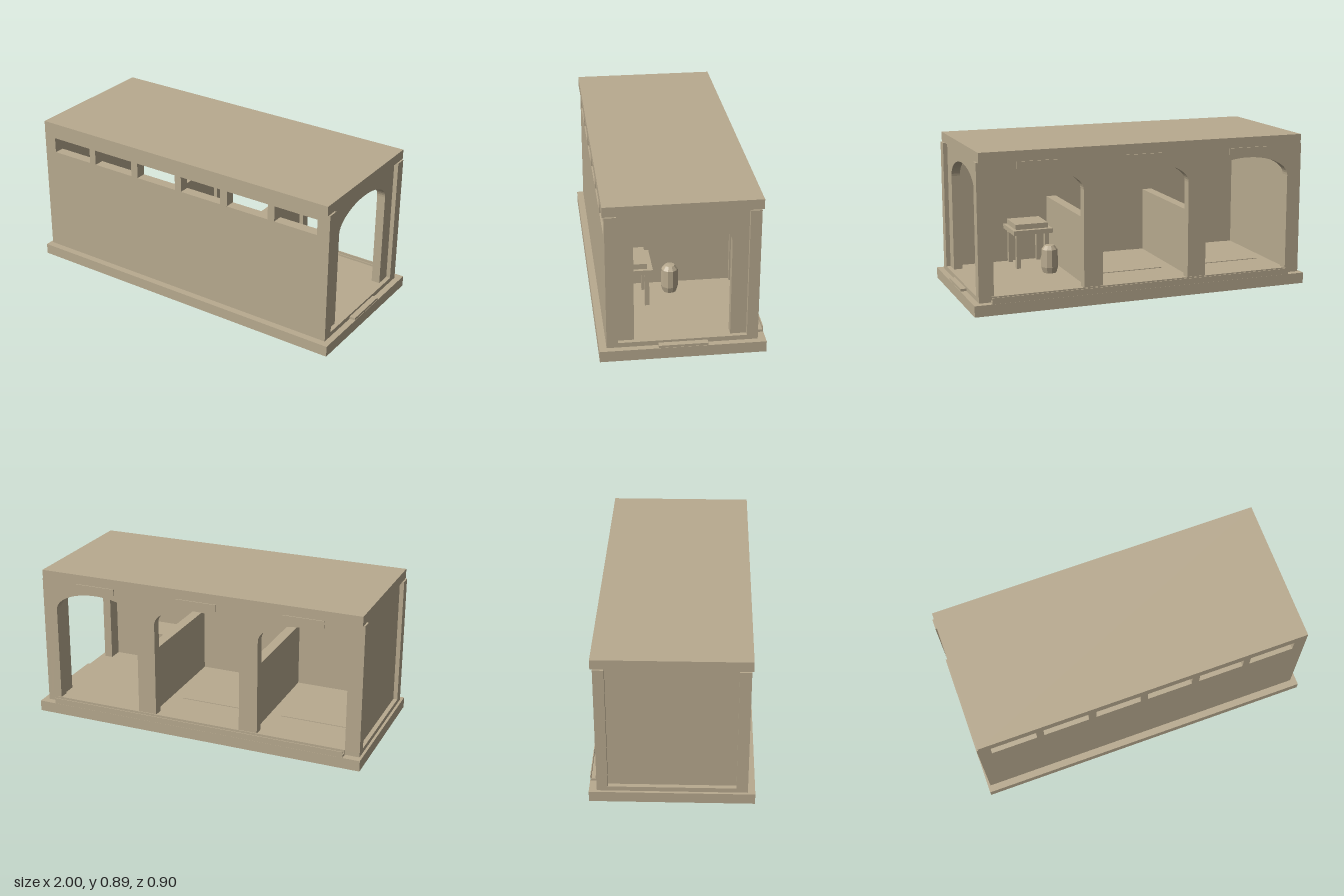
import * as THREE from 'three';

export function createModel() {
  const model = new THREE.Group();
  const stone = new THREE.MeshStandardMaterial({ color: 0xb8aa8f });
  stone.name = 'sandstone';

  // The building sits slightly off the middle of its base
  const building = new THREE.Group();
  building.name = 'building';
  building.position.x = -0.01;
  model.add(building);

  const add = (name, geometry, parent = building) => {
    const mesh = new THREE.Mesh(geometry, stone);
    mesh.name = name;
    parent.add(mesh);
    return mesh;
  };
  // Box given by its minimum and maximum on each axis
  const box = (name, x0, x1, y0, y1, z0, z1, parent) => {
    const mesh = add(name, new THREE.BoxGeometry(x1 - x0, y1 - y0, z1 - z0), parent);
    mesh.position.set((x0 + x1) / 2, (y0 + y1) / 2, (z0 + z1) / 2);
    return mesh;
  };

  const FLOOR = 0.09, EAVES = 0.834;
  const ARCH_W = 0.26, SPRING = 0.65, ARCH_RISE = 0.12;
  const bays = [-0.63, 0, 0.63];

  // Wall with arched doorways cut up from its foot
  const archedWall = (name, half, centres, thickness) => {
    const s = new THREE.Shape();
    s.moveTo(-half, FLOOR);
    for (const c of centres) {
      s.lineTo(c - ARCH_W, FLOOR);
      s.lineTo(c - ARCH_W, SPRING);
      s.absellipse(c, SPRING, ARCH_W, ARCH_RISE, Math.PI, 0, true);
      s.lineTo(c + ARCH_W, FLOOR);
    }
    s.lineTo(half, FLOOR);
    s.lineTo(half, EAVES);
    s.lineTo(-half, EAVES);
    s.closePath();
    return add(name, new THREE.ExtrudeGeometry(s, { depth: thickness, bevelEnabled: false, curveSegments: 14 }));
  };

  // Base, floor and roof
  box('base', -1, 1, 0, 0.063, -0.45, 0.45, model);
  box('floor', -0.975, 0.975, 0.063, FLOOR, -0.407, 0.41);
  box('roof', -0.965, 0.965, EAVES, 0.89, -0.42, 0.42);

  // Front wall with a row of high windows
  const front = new THREE.Shape();
  front.moveTo(-0.95, FLOOR);
  front.lineTo(0.95, FLOOR);
  front.lineTo(0.95, EAVES);
  front.lineTo(-0.95, EAVES);
  front.closePath();
  for (const c of [-0.768, -0.462, -0.153, 0.153, 0.462, 0.768]) {
    const hole = new THREE.Path();
    hole.moveTo(c - 0.132, 0.7);
    hole.lineTo(c - 0.132, 0.791);
    hole.lineTo(c + 0.132, 0.791);
    hole.lineTo(c + 0.132, 0.7);
    hole.closePath();
    front.holes.push(hole);
  }
  const frontWall = add('frontWall', new THREE.ExtrudeGeometry(front, { depth: 0.06, bevelEnabled: false }));
  frontWall.position.z = 0.35;

  // Arcade along the back, arched end wall and solid end wall
  archedWall('backArcade', 0.95, bays, 0.057).position.z = -0.407;
  const endArch = archedWall('archedEndWall', 0.35, [0], 0.05);
  endArch.rotation.y = Math.PI / 2;
  endArch.position.x = 0.9;
  box('solidEndWall', -0.95, -0.9, FLOOR, EAVES, -0.35, 0.35);

  // Corner pilasters
  for (const sx of [-1, 1]) {
    for (const [z0, z1] of [[-0.407, -0.347], [0.348, 0.41]]) {
      const p = box('cornerPilaster', 0.95, 0.975, FLOOR, EAVES, z0, z1);
      p.position.x *= sx;
    }
  }

  // Low partitions between the bays
  for (const x of [-0.315, 0.315]) {
    box('partition', x - 0.03, x + 0.03, FLOOR, 0.472, -0.35, 0.35);
  }

  // Roof beams
  for (let i = -3; i <= 3; i++) {
    const x = i * 0.27;
    box('roofBeam', x - 0.015, x + 0.015, 0.8, EAVES, -0.35, 0.35);
  }

  // Plates over the back arches
  for (const x of bays) box('archPlate', x - 0.12, x + 0.12, 0.79, 0.829, -0.414, -0.407);

  // Floor mats in the two inner bays
  for (const x of bays.slice(0, 2)) box('floorMat', x - 0.21, x + 0.21, FLOOR, 0.094, -0.14, 0.34);

  // Table with a slab on it
  box('tableTop', 0.38, 0.62, 0.296, 0.323, 0.12, 0.35);
  box('tableSlab', 0.4, 0.6, 0.323, 0.354, 0.15, 0.34);
  for (const x of [0.4, 0.575]) {
    for (const z of [0.139, 0.31]) box('tableLeg', x, x + 0.025, FLOOR, 0.296, z, z + 0.025);
  }

  // Faceted jar
  const profile = [[0, 0.09], [0.04, 0.09], [0.05, 0.125], [0.047, 0.229], [0.028, 0.252], [0, 0.255]]
    .map(([r, y]) => new THREE.Vector2(r, y));
  const jarGeometry = new THREE.LatheGeometry(profile, 10).toNonIndexed();
  jarGeometry.computeVertexNormals();
  add('jar', jarGeometry).position.set(0.44, 0, 0.005);

  // Gutter along the back of the base
  box('gutterBed', -0.9, 0.9, 0.063, 0.077, -0.449, -0.414, model);
  box('gutterInnerLip', -0.9, 0.9, 0.063, 0.097, -0.419, -0.414, model);
  box('gutterOuterLip', -0.9, 0.9, 0.063, 0.097, -0.449, -0.444, model);

  // Door step at the arched end
  box('doorStep', 0.965, 0.998, 0.063, 0.077, -0.133, 0.133, model);

  return model;
}
